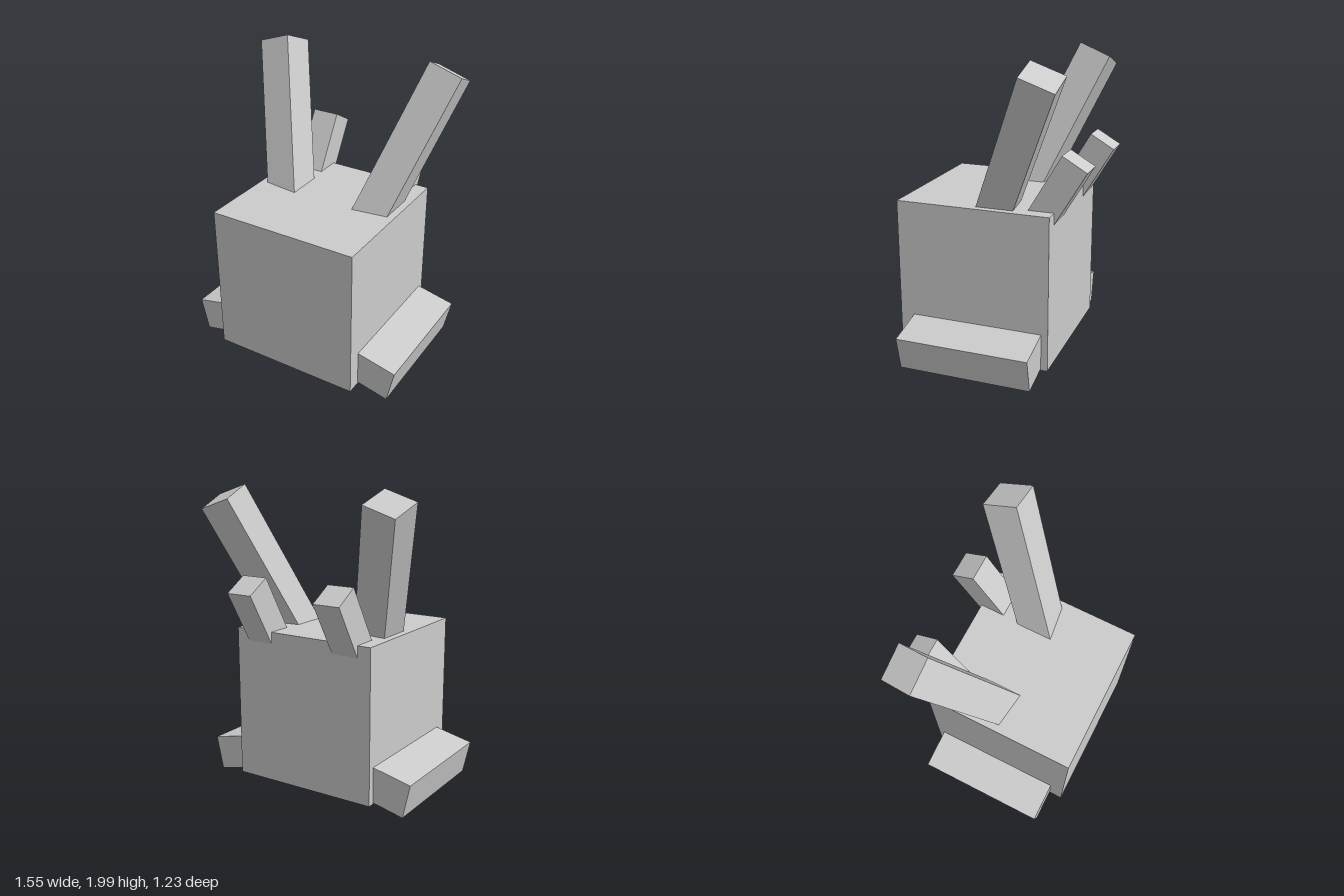
import * as THREE from 'three';

const material = new THREE.MeshStandardMaterial({ color: 0xcccccc, flatShading: true });
const deg = THREE.MathUtils.degToRad;

// Square-cut limb whose free end is centred at `tip`; it runs back along its own -y into the body
function limb(name, [w, length, d], tip, tiltX, tiltZ, side) {
  const geometry = new THREE.BoxGeometry(w, length, d).translate(0, -length / 2, 0);
  const mesh = new THREE.Mesh(geometry, material);
  mesh.name = name;
  mesh.position.set(side * tip[0], tip[1], tip[2]);
  mesh.rotation.set(deg(tiltX), 0, side * deg(tiltZ), 'ZYX');
  return mesh;
}

export function createModel() {
  const model = new THREE.Group();
  model.name = 'blockCreature';

  // Cube body
  const body = new THREE.Mesh(new THREE.BoxGeometry(1.025, 1.025, 1.025), material);
  body.name = 'body';
  body.position.set(0, 0.556, 0.103);
  model.add(body);

  // Mirrored pairs
  for (const [label, side] of [['left', 1], ['right', -1]]) {
    // Long ears lean outward and back
    model.add(limb(`${label}Ear`, [0.23, 1.2, 0.23], [0.62, 1.922, -0.393], -22.6, -18, side));
    // Short horns at the back edge lean straight back
    model.add(limb(`${label}Horn`, [0.185, 0.5, 0.185], [0.327, 1.383, -0.533], -30.5, 0, side));
    // Long flat feet slope down and outward
    model.add(limb(`${label}Foot`, [0.23, 0.4, 0.886], [0.75, 0.118, 0.078], 0, -102.7, side));
  }
  return model;
}
